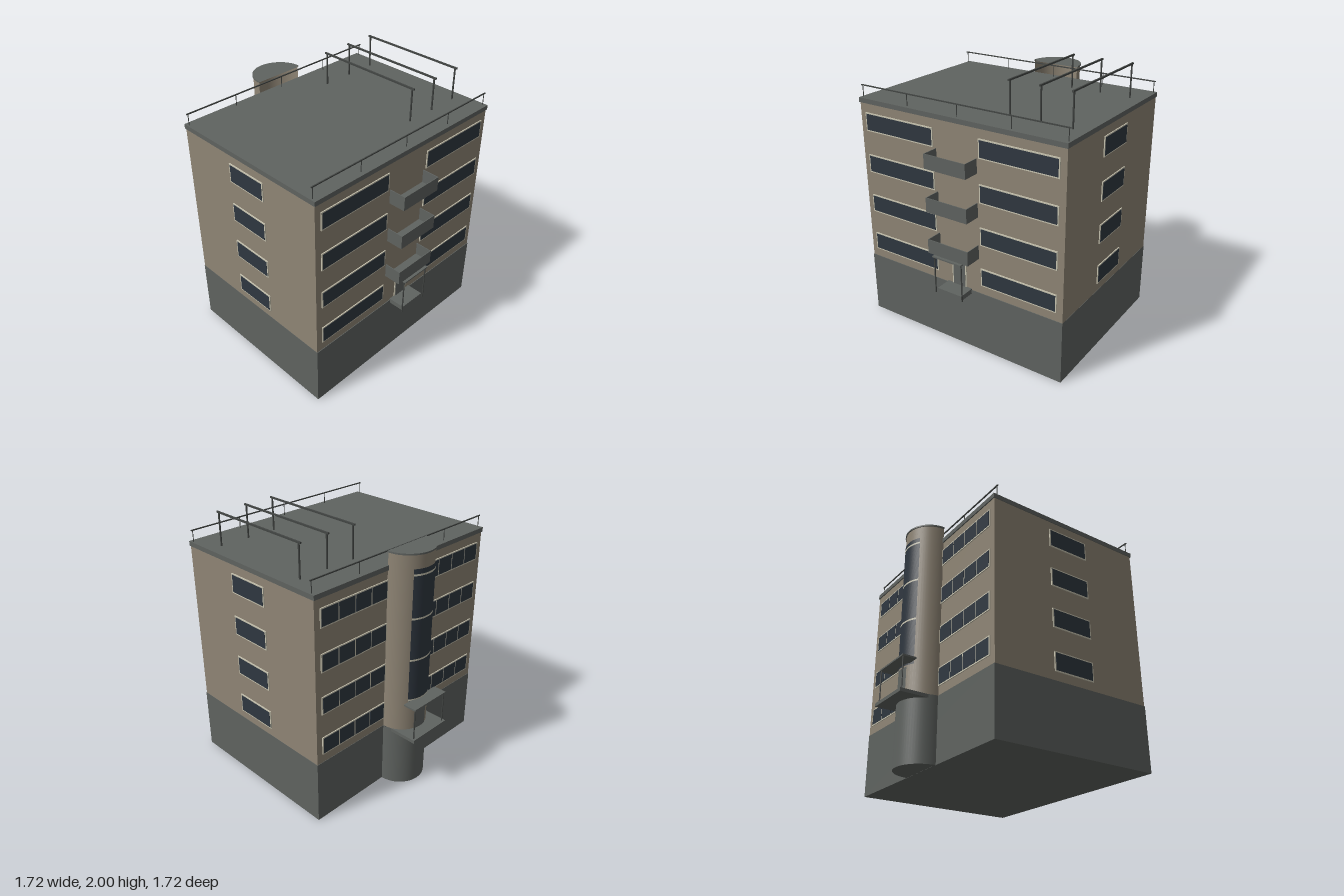
import * as THREE from 'three';

export function createModel() {
  const mat = (name, color) => {
    const m = new THREE.MeshStandardMaterial({ color });
    m.name = name;
    return m;
  };
  const wall = mat('tan wall', 0x8f8575);
  const concrete = mat('grey concrete', 0x5f6360);
  const glass = mat('dark glass', 0x2f3740);
  const trim = mat('cream trim', 0xc8c4b0);
  const metal = mat('dark metal', 0x434644);
  const towerWall = mat('tan tower wall', 0x8f8575);
  const towerBase = mat('grey tower base', 0x5f6360);
  towerWall.side = towerBase.side = THREE.DoubleSide;

  const model = new THREE.Group();
  model.name = 'apartmentBlock';
  const group = (name) => {
    const g = new THREE.Group();
    g.name = name;
    model.add(g);
    return g;
  };
  const add = (parent, name, geo, material) => {
    const m = new THREE.Mesh(geo, material);
    m.name = name;
    parent.add(m);
    return m;
  };
  // Box given by its minimum and maximum on each axis
  const box = (parent, name, material, x0, x1, y0, y1, z0, z1) => {
    const m = add(parent, name, new THREE.BoxGeometry(x1 - x0, y1 - y0, z1 - z0), material);
    m.position.set((x0 + x1) / 2, (y0 + y1) / 2, (z0 + z1) / 2);
    return m;
  };
  const post = (parent, name, x, z, y0, y1, r = 0.005) => {
    const m = add(parent, name, new THREE.CylinderGeometry(r, r, y1 - y0, 8), metal);
    m.position.set(x, (y0 + y1) / 2, z);
  };

  // Main block
  const L = -0.575, R = 0.708, D = 0.85;
  box(model, 'base', concrete, L - 0.003, R + 0.005, 0, 0.482, -D - 0.002, D + 0.002);
  box(model, 'walls', wall, L, R, 0.482, 1.715, -D, D);
  box(model, 'roofSlab', concrete, -0.583, 0.716, 1.715, 1.75, -0.855, 0.855);

  // Framed window, built facing +z and then turned to its wall
  const windowUnit = (name, x, y, z, turn, w, h, panes) => {
    const g = group(name);
    add(g, 'frame', new THREE.BoxGeometry(w, h, 0.008), trim);
    const rim = 0.009, pane = (w - rim * (panes + 1)) / panes;
    for (let i = 0; i < panes; i++) {
      const p = add(g, 'pane', new THREE.BoxGeometry(pane, h - 2 * rim, 0.006), glass);
      p.position.set(-w / 2 + rim + pane / 2 + i * (pane + rim), 0, 0.0025);
    }
    g.position.set(x, y, z);
    g.rotation.y = turn;
  };
  for (let floor = 0; floor < 4; floor++) {
    const y = 0.618 + floor * 0.32;
    windowUnit('frontWindow', 0.067, y, D + 0.003, 0, 0.335, 0.145, 1);
    windowUnit('backWindow', 0.067, y, -D - 0.003, Math.PI, 0.335, 0.145, 1);
    for (const s of [-1, 1]) {
      windowUnit('leftSideWindow', R + 0.003, y, s * 0.497, Math.PI / 2, 0.612, 0.138, 1);
      windowUnit('rightSideWindow', L - 0.003, y, s * 0.497, -Math.PI / 2, 0.612, 0.138, 4);
    }
  }

  // Half-round stair tower; arcs are centred on the -x direction
  const tower = group('stairTower');
  const arc = (name, material, r, y0, y1, half, open = true) => {
    const geo = new THREE.CylinderGeometry(r, r, y1 - y0, 32, 1, open, 1.5 * Math.PI - half, 2 * half);
    add(tower, name, geo, material).position.set(L, (y0 + y1) / 2, 0);
  };
  arc('towerBase', towerBase, 0.193, 0, 0.482, Math.PI / 2);
  arc('towerWall', towerWall, 0.19, 0.482, 1.842, Math.PI / 2);
  arc('towerCap', towerBase, 0.197, 1.84, 1.852, Math.PI / 2, false);
  arc('towerGlass', glass, 0.193, 0.71, 1.742, 0.62);
  for (const y of [0.735, 1.06, 1.38, 1.7]) arc('towerBand', trim, 0.195, y - 0.007, y + 0.007, 0.62);
  arc('towerDoor', concrete, 0.192, 0.482, 0.7, 0.3);
  const floorDisc = add(tower, 'towerUnderside',
    new THREE.CircleGeometry(0.193, 32, Math.PI / 2, Math.PI), towerBase);
  floorDisc.rotation.x = -Math.PI / 2;
  floorDisc.position.set(L, 0.001, 0);

  // Tower entrance
  const porch = group('towerEntrance');
  box(porch, 'platform', concrete, -0.86, -0.6, 0.457, 0.482, -0.18, 0.18);
  box(porch, 'canopy', concrete, -0.85, -0.745, 0.721, 0.733, -0.17, 0.17);
  for (const s of [-1, 1]) post(porch, 'canopyPost', -0.84, s * 0.16, 0.482, 0.722);

  // Entrance on the opposite side
  const entrance = group('sideEntrance');
  box(entrance, 'platform', concrete, R, 0.835, 0.455, 0.492, -0.105, 0.105);
  box(entrance, 'canopy', concrete, R, 0.856, 0.746, 0.756, -0.124, 0.124);
  box(entrance, 'doorFrame', trim, R - 0.002, R + 0.006, 0.492, 0.724, -0.062, 0.062);
  box(entrance, 'door', concrete, R, R + 0.008, 0.492, 0.713, -0.052, 0.052);
  for (const s of [-1, 1]) post(entrance, 'canopyPost', 0.84, s * 0.117, 0.457, 0.748);

  // Open balconies
  for (const y of [0.757, 1.077, 1.397]) {
    const b = group('balcony');
    const top = y + 0.107, t = 0.006;
    box(b, 'floor', concrete, R, 0.836, y, y + 0.01, -0.173, 0.173);
    box(b, 'frontPanel', concrete, 0.836 - t, 0.836, y, top, -0.173, 0.173);
    box(b, 'sidePanel', concrete, R, 0.836, y, top, 0.173 - t, 0.173);
    box(b, 'sidePanel', concrete, R, 0.836, y, top, -0.173, -0.173 + t);
  }

  // Roof railings
  for (const x of [-0.547, 0.682]) {
    const rail = group('roofRailing');
    box(rail, 'handrail', metal, x - 0.004, x + 0.004, 1.831, 1.839, -0.852, 0.852);
    for (const z of [-0.84, -0.43, 0, 0.43, 0.84]) post(rail, 'railPost', x, z, 1.75, 1.833, 0.003);
  }

  // Roof frames
  for (const z of [-0.75, -0.515, -0.28]) {
    const f = group('roofFrame');
    box(f, 'crossbar', metal, -0.36, 0.493, 1.988, 2, z - 0.006, z + 0.006);
    for (const x of [-0.342, 0.475]) post(f, 'framePost', x, z, 1.75, 1.99, 0.0065);
  }
  return model;
}
